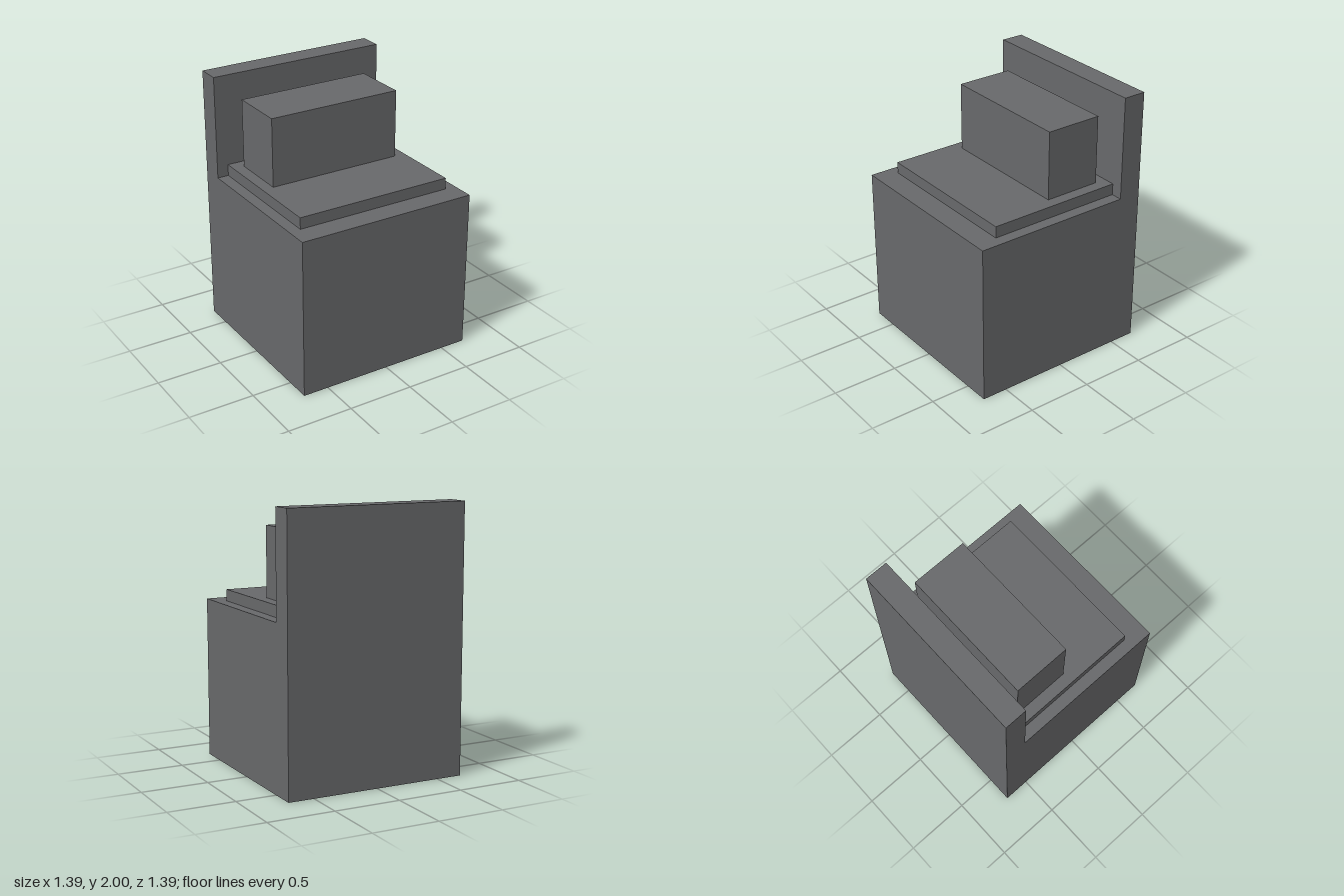
import * as THREE from 'three';

const U = 2 / 23; // the whole design sits on a 23-unit-high block grid

export function createModel() {
  const model = new THREE.Group();
  const grey = new THREE.MeshStandardMaterial({ color: 0x68696b });
  grey.name = 'dark grey';

  // Box given by its lowest and highest corners, in grid units
  const block = (name, [x0, y0, z0], [x1, y1, z1]) => {
    const mesh = new THREE.Mesh(
      new THREE.BoxGeometry((x1 - x0) * U, (y1 - y0) * U, (z1 - z0) * U), grey);
    mesh.position.set((x0 + x1) / 2 * U, (y0 + y1) / 2 * U, (z0 + z1) / 2 * U);
    mesh.name = name;
    model.add(mesh);
  };

  // Base and back panel share one L-shaped side profile
  const profile = new THREE.Shape(
    [[-8, 0], [8, 0], [8, 23], [6, 23], [6, 14], [-8, 14]]
      .map(([a, y]) => new THREE.Vector2(a * U, y * U)));
  const body = new THREE.Mesh(
    new THREE.ExtrudeGeometry(profile, { depth: 16 * U, bevelEnabled: false })
      .translate(0, 0, -8 * U).rotateY(Math.PI / 2), grey);
  body.name = 'baseAndBackPanel';
  model.add(body);

  // Raised plate on the base, and the block standing on it
  block('topPlate', [-7, 14, -6], [7, 15, 6]);
  block('upperBlock', [-6, 15, -5], [6, 21, 0]);
  return model;
}
